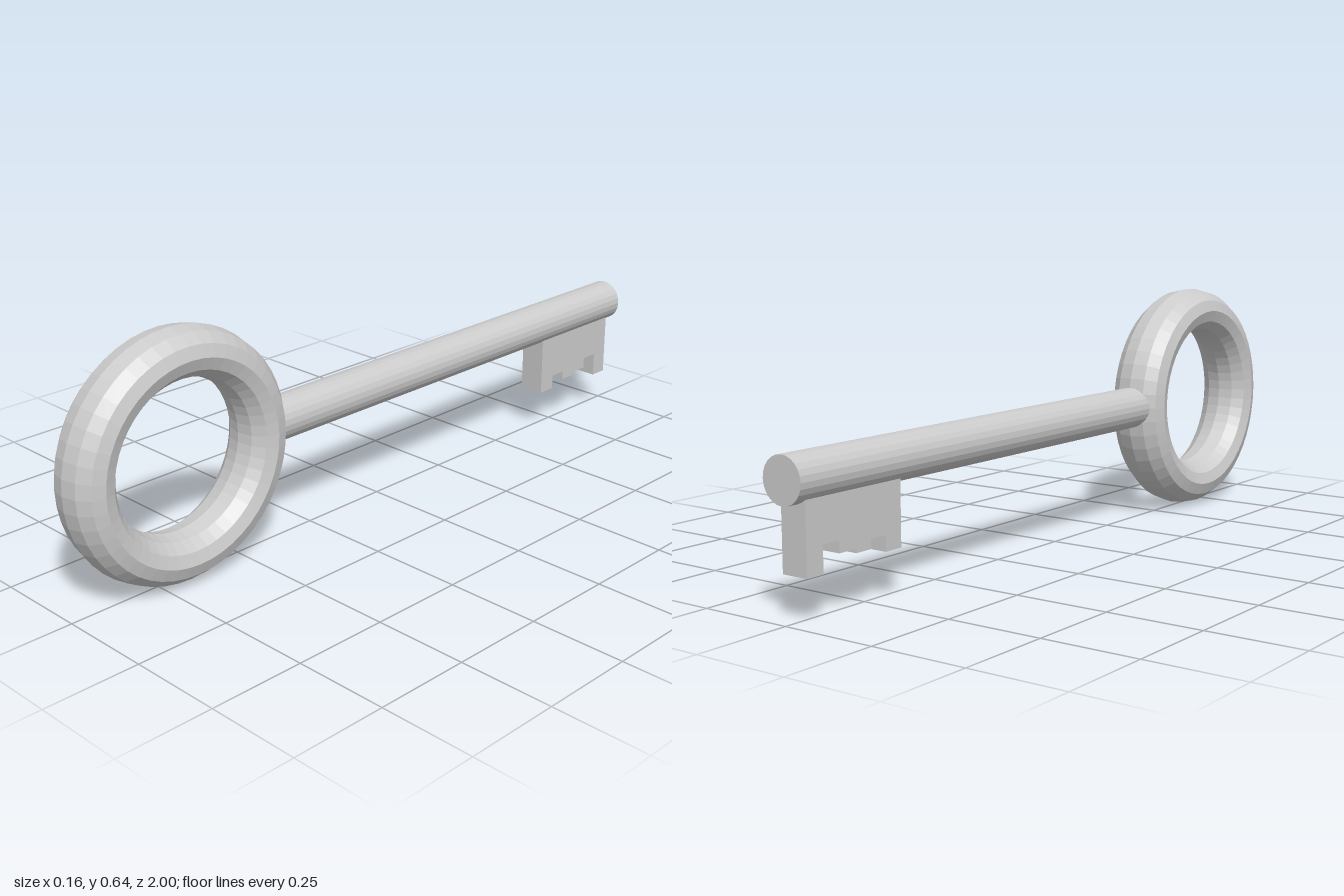
import * as THREE from 'three';

export function createModel() {
  const key = new THREE.Group();
  key.name = 'key';
  const material = new THREE.MeshStandardMaterial({ color: 0xcccccc, flatShading: true });
  const axisY = 0.324;

  const add = (name, geometry) => {
    const mesh = new THREE.Mesh(geometry, material);
    mesh.name = name;
    key.add(mesh);
    return mesh;
  };

  // Ring handle: torus in the y-z plane, its tube stretched sideways
  const ring = new THREE.TorusGeometry(0.258, 0.063, 12, 48);
  ring.scale(1, 1, 1.28);
  ring.rotateY(Math.PI / 2);
  add('ringHandle', ring).position.set(0, axisY, 0.679);

  // Round shaft, its front end buried in the ring
  const shaftFront = 0.42, shaftBack = -1;
  const shaft = new THREE.CylinderGeometry(0.057, 0.057, shaftFront - shaftBack, 24);
  shaft.rotateX(Math.PI / 2);
  add('shaft', shaft).position.set(0, axisY, (shaftFront + shaftBack) / 2);

  // Notched bit: [distance behind centre, height], extruded across x
  const bitWidth = 0.073;
  const outline = [
    [0.661, axisY], [0.661, 0.118], [0.714, 0.118], [0.714, 0.158],
    [0.763, 0.158], [0.763, 0.134], [0.812, 0.134], [0.812, 0.144],
    [0.866, 0.144], [0.866, 0.174], [0.917, 0.174], [0.917, 0.107],
    [0.968, 0.107], [0.968, axisY],
  ];
  const shape = new THREE.Shape(outline.map(([d, y]) => new THREE.Vector2(d, y)));
  const bit = new THREE.ExtrudeGeometry(shape, { depth: bitWidth, bevelEnabled: false });
  bit.translate(0, 0, -bitWidth / 2);
  bit.rotateY(Math.PI / 2);
  add('bit', bit);

  return key;
}
